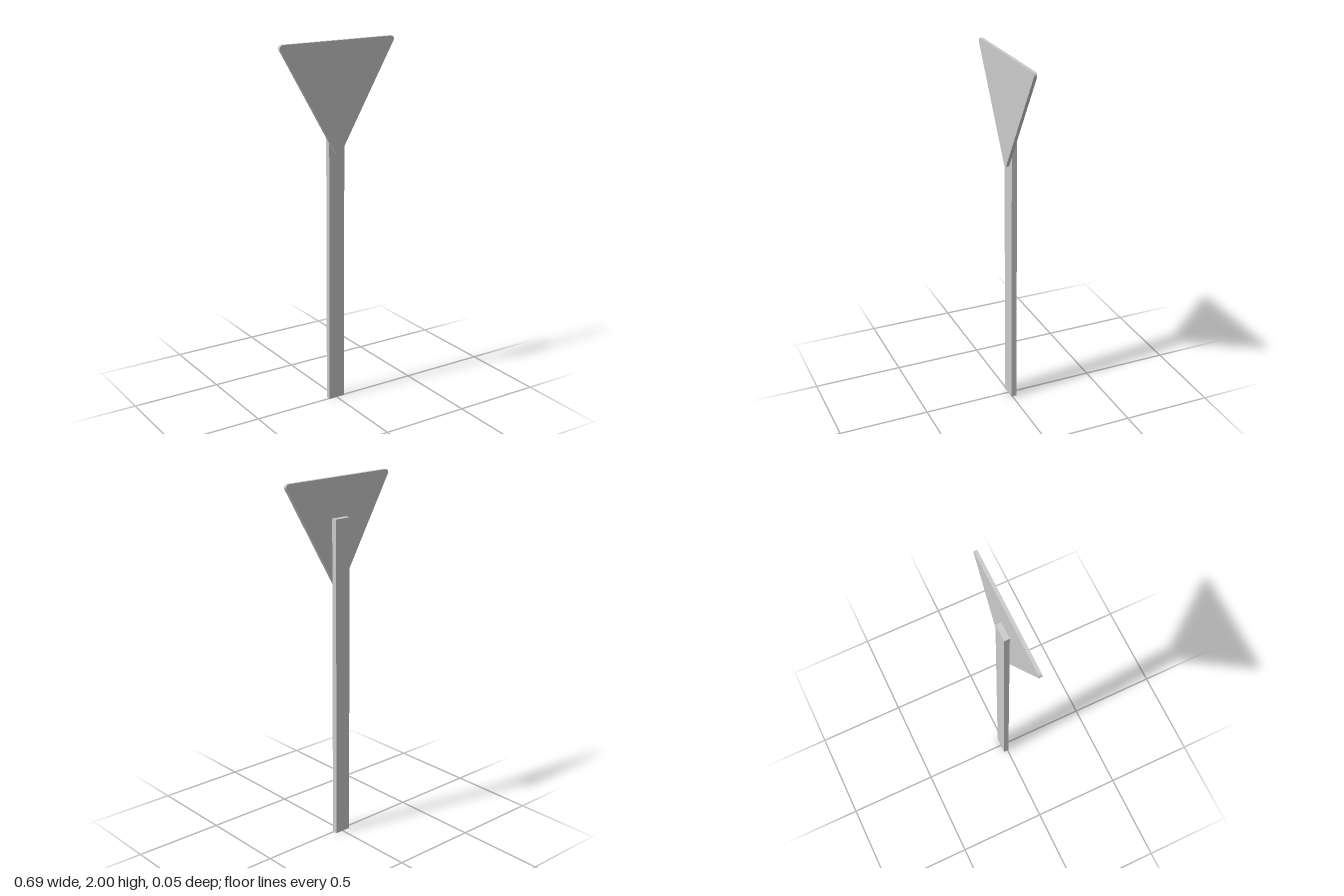
import * as THREE from 'three';

const material = new THREE.MeshStandardMaterial({ color: 0xcccccc, flatShading: true });

// Point-down equilateral triangle with small rounded corners
function signShape(halfWidth, top, radius) {
  const inset = radius * Math.sqrt(3);
  const tip = top - halfWidth * Math.sqrt(3);
  const shape = new THREE.Shape();
  const corners = [
    [0, tip + 2 * radius, -150],
    [halfWidth - inset, top - radius, -30],
    [-halfWidth + inset, top - radius, 90],
  ];
  for (const [x, y, start] of corners) {
    const a = THREE.MathUtils.degToRad(start);
    shape.absarc(x, y, radius, a, a + Math.PI * 2 / 3, false);
  }
  shape.closePath();
  return shape;
}

export function createModel() {
  const group = new THREE.Group();

  // Flat wooden post
  const post = new THREE.Mesh(new THREE.BoxGeometry(0.094, 1.79, 0.03), material);
  post.name = 'post';
  post.position.set(0, 0.895, -0.0095);
  group.add(post);

  // Triangular sign plate fixed to the front of the post
  const plate = new THREE.Mesh(
    new THREE.ExtrudeGeometry(signShape(0.356, 2, 0.017), {
      depth: 0.0175, bevelEnabled: false, curveSegments: 6,
    }),
    material,
  );
  plate.name = 'signPlate';
  plate.position.z = 0.0055;
  group.add(plate);

  return group;
}
